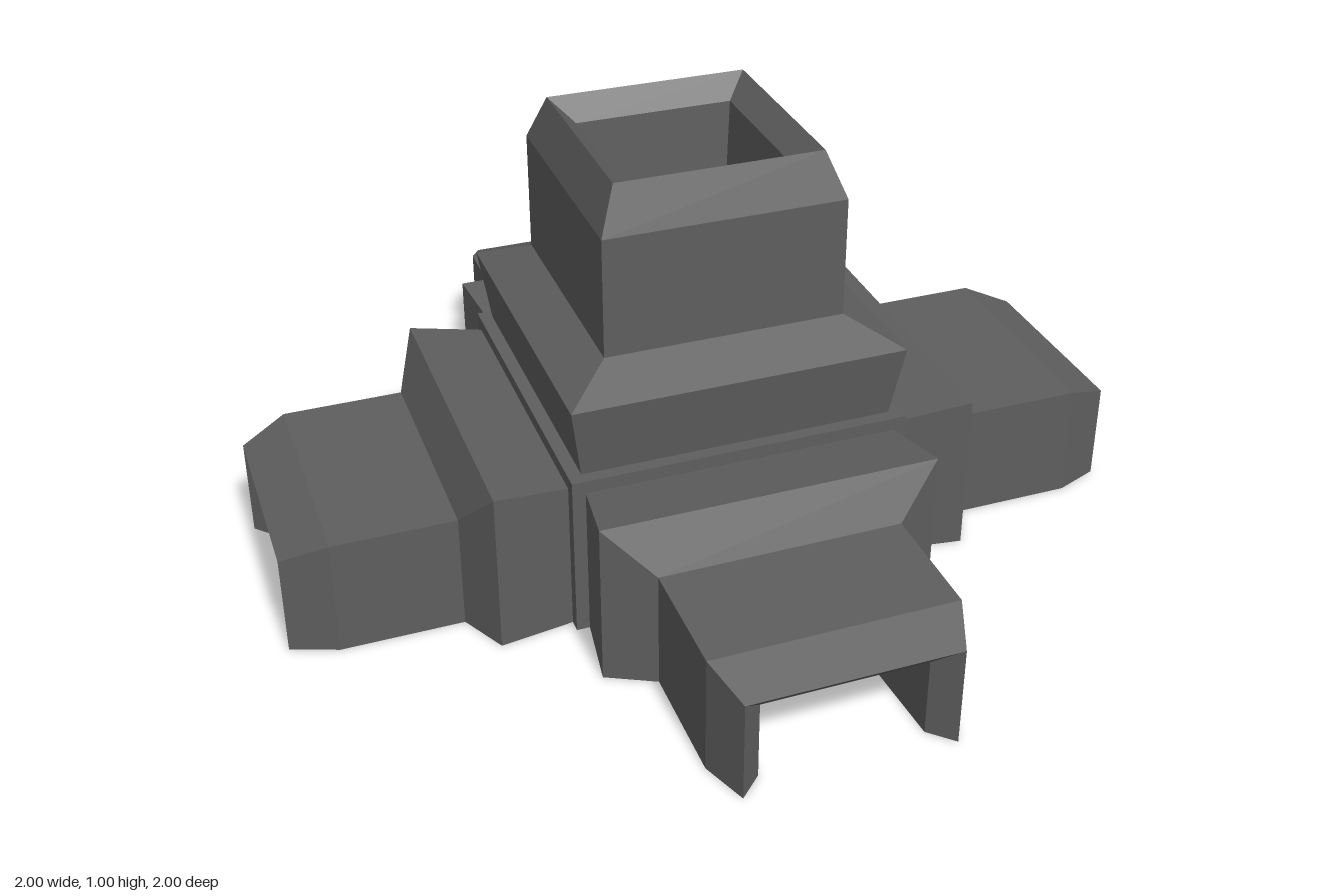
import * as THREE from 'three';

// Arm profile as [half width, distance from centre]: flare, shoulder, pipe, chamfered rim, socket
const PROFILE = [
  [0.36, 0.39], [0.385, 0.56], [0.277, 0.615], [0.277, 0.895],
  [0.237, 1.0], [0.185, 0.95], [0.157, 0.485],
];

// Square loft along +z; a half loft is cut off flat at y = 0
function loftGeometry(half) {
  const ring = ([w, d]) => {
    const low = half ? 0 : -w;
    return [[w, low, d], [w, w, d], [-w, w, d], [-w, low, d]];
  };
  const pos = [];
  const quad = (a, b, c, e) => pos.push(...a, ...b, ...c, ...a, ...c, ...e);
  const rings = PROFILE.map(ring);
  for (let i = 0; i < rings.length - 1; i++) {
    for (let k = 0; k < (half ? 3 : 4); k++) {
      const n = (k + 1) % 4;
      quad(rings[i][k], rings[i][n], rings[i + 1][n], rings[i + 1][k]);
    }
  }
  quad(...rings[rings.length - 1]); // socket floor
  const geo = new THREE.BufferGeometry();
  geo.setAttribute('position', new THREE.Float32BufferAttribute(pos, 3));
  geo.computeVertexNormals();
  return geo;
}

export function createModel() {
  const model = new THREE.Group();
  model.name = 'pipeJunction';
  const grey = new THREE.MeshStandardMaterial({ color: 0x5e5e5e, flatShading: true });
  grey.name = 'darkGrey';

  const add = (parent, geo, name) => {
    const mesh = new THREE.Mesh(geo, grey);
    mesh.name = name;
    parent.add(mesh);
    return mesh;
  };

  // Central block
  const hub = add(model, new THREE.BoxGeometry(0.78, 0.39, 0.78), 'hub');
  hub.position.y = 0.195;

  // Upright arm
  add(model, loftGeometry(false).rotateX(-Math.PI / 2), 'topArm');

  // Four half arms lying on the ground, each with a U-shaped underside
  const armGeo = loftGeometry(true);
  const outline = [
    ...PROFILE.map(([w, d]) => new THREE.Vector2(w, d)),
    ...PROFILE.map(([w, d]) => new THREE.Vector2(-w, d)).reverse(),
  ];
  const baseGeo = new THREE.ShapeGeometry(new THREE.Shape(outline)).rotateX(Math.PI / 2);
  ['frontArm', 'leftArm', 'backArm', 'rightArm'].forEach((name, i) => {
    const arm = new THREE.Group();
    arm.name = name;
    arm.rotation.y = i * Math.PI / 2;
    add(arm, armGeo, name + 'Shell');
    add(arm, baseGeo, name + 'Underside');
    model.add(arm);
  });

  return model;
}
